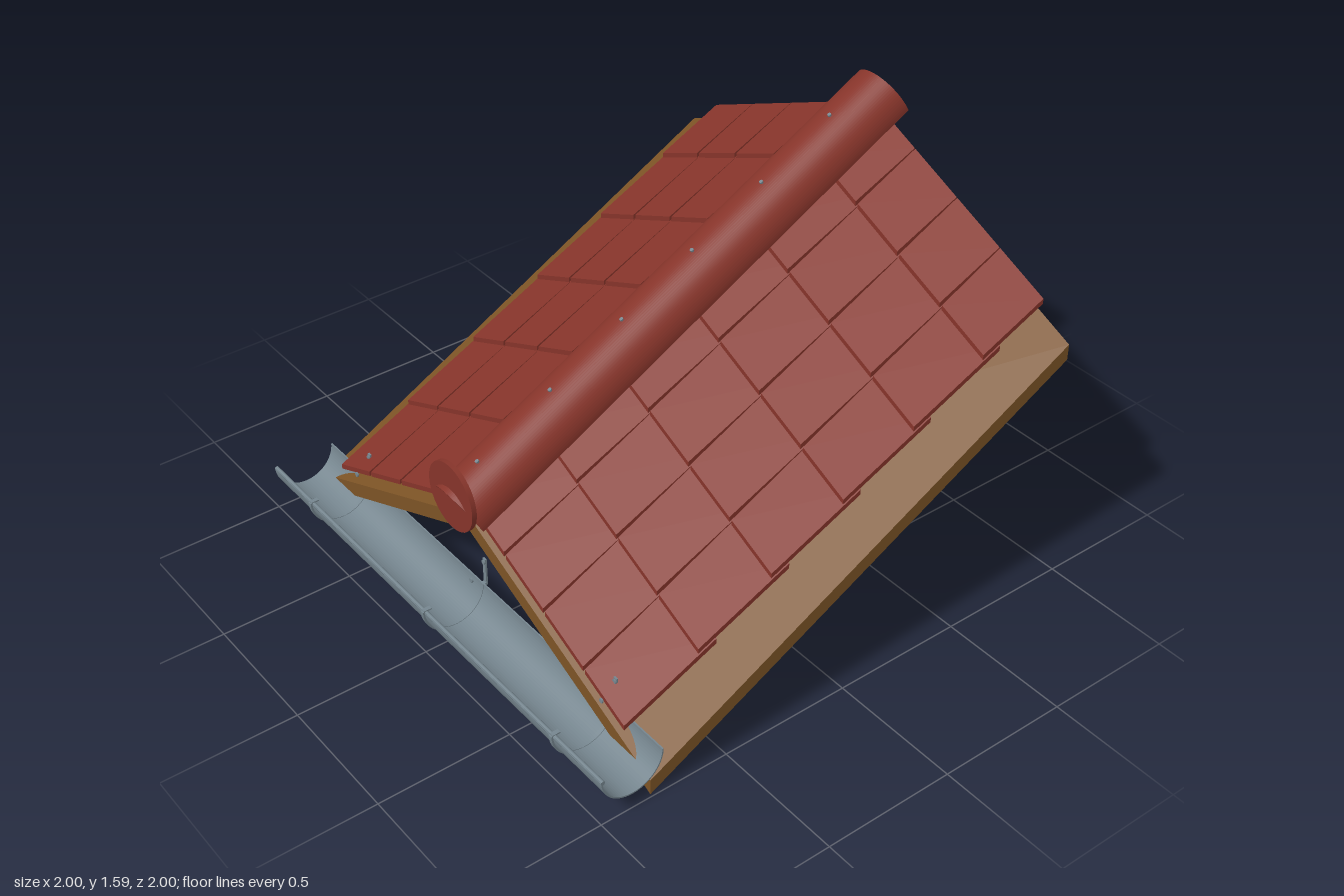
import * as THREE from 'three';

const mat = (name, color) => {
  const m = new THREE.MeshStandardMaterial({ color });
  m.name = name;
  return m;
};

export function createModel() {
  const wood = mat('brown wood', 0x7c5325);
  const red = mat('red clay', 0x86342a);
  const redSheet = mat('red sheet', 0x86342a);
  const zinc = mat('grey zinc', 0x76868f);
  redSheet.side = zinc.side = THREE.DoubleSide;

  const root = new THREE.Group();
  const add = (parent, name, geo, material, x = 0, y = 0, z = 0) => {
    const mesh = new THREE.Mesh(geo, material);
    mesh.name = name;
    mesh.position.set(x, y, z);
    parent.add(mesh);
    return mesh;
  };

  // Underside of the roof deck: falls to both sides and towards the front
  const eaveZ = 0.8, backZ = -0.945, pitch = 0.53, fall = 0.44;
  const deckY = (x, z) => 0.44 - fall * Math.abs(x) + pitch * (eaveZ - z);

  // Box whose corners are moved by a rule
  const bentBox = (x0, x1, h, z0, z1, rule) => {
    const g = new THREE.BoxGeometry(x1 - x0, h, z1 - z0);
    g.translate((x0 + x1) / 2, h / 2, (z0 + z1) / 2);
    const p = g.attributes.position;
    const v = new THREE.Vector3();
    for (let i = 0; i < p.count; i++) {
      rule(v.fromBufferAttribute(p, i));
      p.setXYZ(i, v.x, v.y, v.z);
    }
    g.computeVertexNormals();
    return g;
  };

  // Deck boards and overlapping tile courses on both slopes
  const tileW = 0.215, course = 0.297, lap = 0.07;
  for (const side of [1, -1]) {
    const slope = new THREE.Group();
    slope.name = side > 0 ? 'leftSlope' : 'rightSlope';
    root.add(slope);
    const [d0, d1] = side > 0 ? [0, 0.99] : [-0.99, 0];
    add(slope, 'roofDeck', bentBox(d0, d1, 0.06, backZ, eaveZ, v => { v.y += deckY(v.x, v.z); }), wood);
    for (let row = 0; row < 6; row++) {
      const low = eaveZ - row * course;
      const high = Math.max(low - course - lap, backZ);
      for (let col = 0; col < 4; col++) {
        const a = side * col * tileW, b = side * (col + 1) * tileW;
        const x0 = Math.min(a, b), x1 = Math.max(a, b), mid = (x0 + x1) / 2;
        const geo = bentBox(x0, x1, 0.02, high, low, v => {
          // lower end is raised and slightly narrower, leaving a wedge joint
          const t = (low - v.z) / (course + lap);
          v.x = mid + (v.x - mid) * (0.95 + 0.05 * t);
          v.y += deckY(v.x, v.z) + 0.112 - 0.024 * t;
        });
        add(slope, 'roofTile', geo, red);
      }
    }
  }

  // Ridge group: local z runs down the ridge, local y is square to it
  const ridge = new THREE.Group();
  ridge.name = 'ridge';
  ridge.position.set(0, 1.0, -0.085);
  ridge.rotation.x = Math.atan(pitch);
  root.add(ridge);
  const capR = 0.125, capLen = 2.05;
  const half = new THREE.Shape();
  half.absarc(0, 0, capR, 0, Math.PI, false);
  half.absarc(0, 0, capR - 0.006, Math.PI, 0, true);
  const capGeo = new THREE.ExtrudeGeometry(half, { depth: capLen, bevelEnabled: false, curveSegments: 24 });
  add(ridge, 'ridgeCap', capGeo, redSheet, 0, 0, -capLen / 2);
  add(ridge, 'ridgeBatten', new THREE.BoxGeometry(0.055, 0.08, 2.0), wood, 0, 0.045, -0.03);
  const slant = Math.hypot(1, pitch);
  for (let i = 0; i < 6; i++) {
    const z = (0.75 - i * 0.298 + 0.085 + 0.058 * -1) * slant;
    add(ridge, 'ridgeScrew', new THREE.CylinderGeometry(0.007, 0.007, 0.01, 10), zinc, 0, capR + 0.002, z);
  }

  // Upright disc closing the front of the ridge
  const disc = new THREE.CylinderGeometry(0.128, 0.128, 0.018, 40);
  disc.rotateX(Math.PI / 2);
  add(root, 'ridgeEndDisc', disc, red, 0, 0.608, 0.853);

  // Curved strip section in the (z, y) plane, extruded along x
  const trough = (r, thick, width) => {
    const s = new THREE.Shape();
    s.absarc(0, 0, r, Math.PI, Math.PI * 2, false);
    s.absarc(0, 0, r - thick, Math.PI * 2, Math.PI, true);
    const g = new THREE.ExtrudeGeometry(s, { depth: width, bevelEnabled: false, curveSegments: 20 });
    g.translate(0, 0, -width / 2);
    g.rotateY(Math.PI / 2);
    return g;
  };

  // Gutter with a rolled front lip
  const gy = 0.185, gz = 0.876;
  const gutter = new THREE.Group();
  gutter.name = 'gutter';
  root.add(gutter);
  add(gutter, 'gutterTrough', trough(0.121, 0.005, 2), zinc, 0, gy, gz);
  const lip = new THREE.CylinderGeometry(0.008, 0.008, 2, 12);
  lip.rotateZ(Math.PI / 2);
  add(gutter, 'gutterLip', lip, zinc, 0, gy - 0.006, gz + 0.114);

  // Gutter brackets: strap under the trough, stem up the back, screws
  for (const x of [-0.74, 0, 0.74]) {
    const bracket = new THREE.Group();
    bracket.name = 'gutterBracket';
    bracket.position.x = x;
    gutter.add(bracket);
    add(bracket, 'bracketStrap', trough(0.128, 0.014, 0.016), zinc, 0, gy, gz);
    add(bracket, 'bracketStem', new THREE.BoxGeometry(0.016, 0.11, 0.007), zinc, 0, 0.23, 0.745);
    add(bracket, 'bracketHook', new THREE.BoxGeometry(0.016, 0.005, 0.03), zinc, 0, gy + 0.002, gz + 0.108);
    for (const y of [0.22, 0.272]) {
      const screw = new THREE.CylinderGeometry(0.009, 0.009, 0.006, 10);
      screw.rotateX(Math.PI / 2);
      add(bracket, 'bracketScrew', screw, zinc, 0, y, y > 0.25 ? 0.75 : 0.803);
    }
  }
  return root;
}
